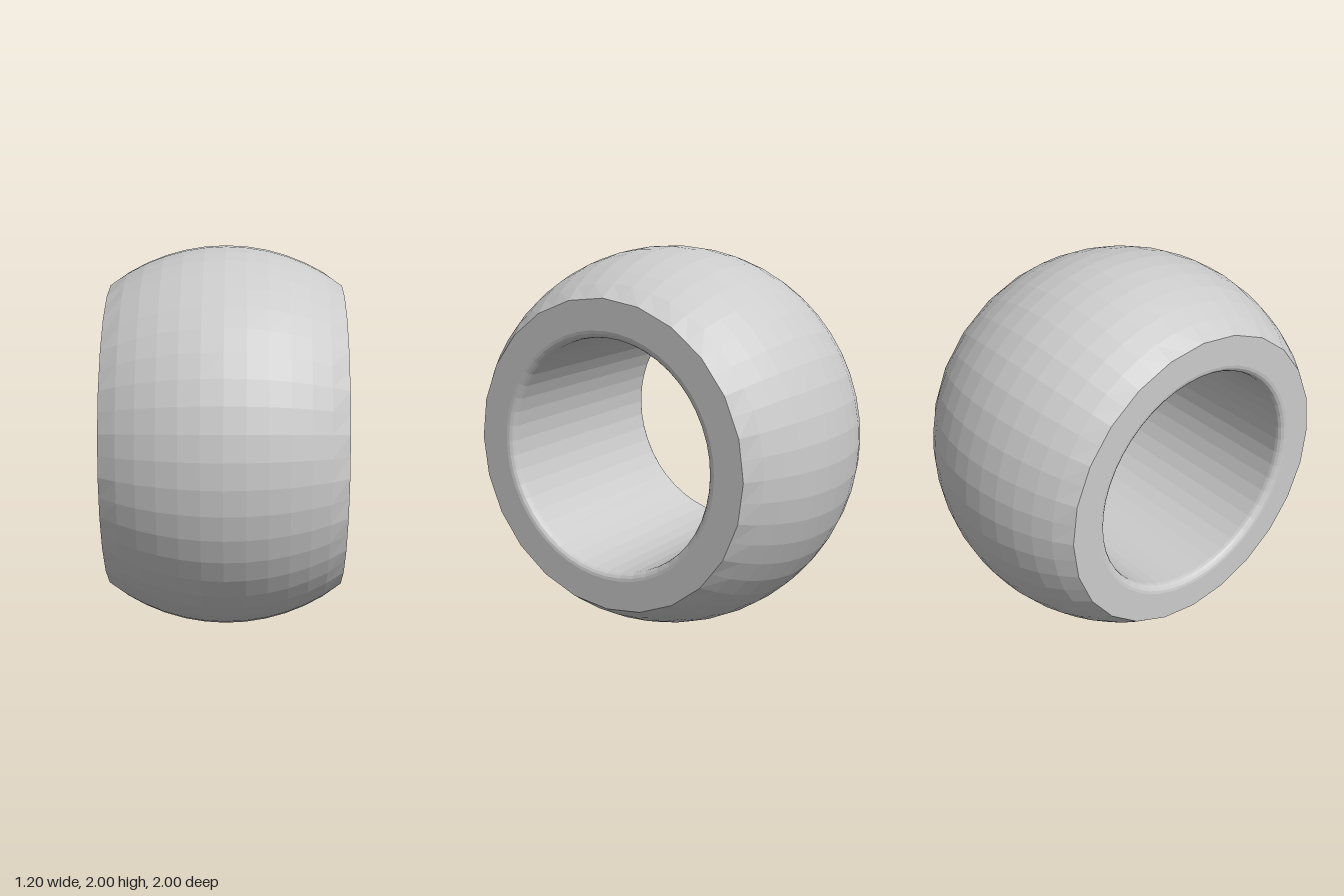
import * as THREE from 'three';

const SIDES = 48;
const BALL = 1, HALF = 0.6, BORE = 0.6, FILLET = 0.04;
const FACE = Math.sqrt(BALL * BALL - HALF * HALF);

// points on an arc as (radius, axial position) pairs
function arc(cr, ca, radius, from, to, steps) {
  return Array.from({ length: steps + 1 }, (_, i) => {
    const t = from + (to - from) * i / steps;
    return new THREE.Vector2(cr + radius * Math.cos(t), ca + radius * Math.sin(t));
  });
}

export function createModel() {
  const material = new THREE.MeshStandardMaterial({ color: 0xcccccc, flatShading: true });
  const ring = new THREE.Group();
  ring.name = 'sphericalRing';

  function addPart(name, points) {
    const geometry = new THREE.LatheGeometry(points, SIDES);
    // the outer rim has half as many sides: pull every other corner onto the chord
    const pos = geometry.attributes.position;
    points.forEach((p, j) => {
      if (Math.abs(p.x - FACE) > 1e-4) return;
      for (let i = 1; i < SIDES; i += 2) {
        const k = i * points.length + j, s = Math.cos(2 * Math.PI / SIDES);
        pos.setXYZ(k, pos.getX(k) * s, pos.getY(k), pos.getZ(k) * s);
      }
    });
    geometry.computeVertexNormals();
    const mesh = new THREE.Mesh(geometry, material);
    mesh.name = name;
    ring.add(mesh);
  }

  // outer spherical surface
  const half = Math.asin(HALF / BALL);
  addPart('outerSurface', arc(0, 0, BALL, -half, half, 12));

  // flat end faces
  const lip = BORE + FILLET;
  addPart('leftEndFace', [new THREE.Vector2(FACE, HALF), new THREE.Vector2(lip, HALF)]);
  addPart('rightEndFace', [new THREE.Vector2(lip, -HALF), new THREE.Vector2(FACE, -HALF)]);

  // bore with a rounded lip at both ends
  addPart('bore', [
    ...arc(lip, HALF - FILLET, FILLET, Math.PI / 2, Math.PI, 4),
    ...arc(lip, FILLET - HALF, FILLET, Math.PI, Math.PI * 1.5, 4),
  ]);

  // lay the axis along x and stand the ring on the ground
  ring.rotation.z = -Math.PI / 2;
  ring.position.y = BALL;
  const model = new THREE.Group();
  model.name = 'bearingBall';
  model.add(ring);
  return model;
}
